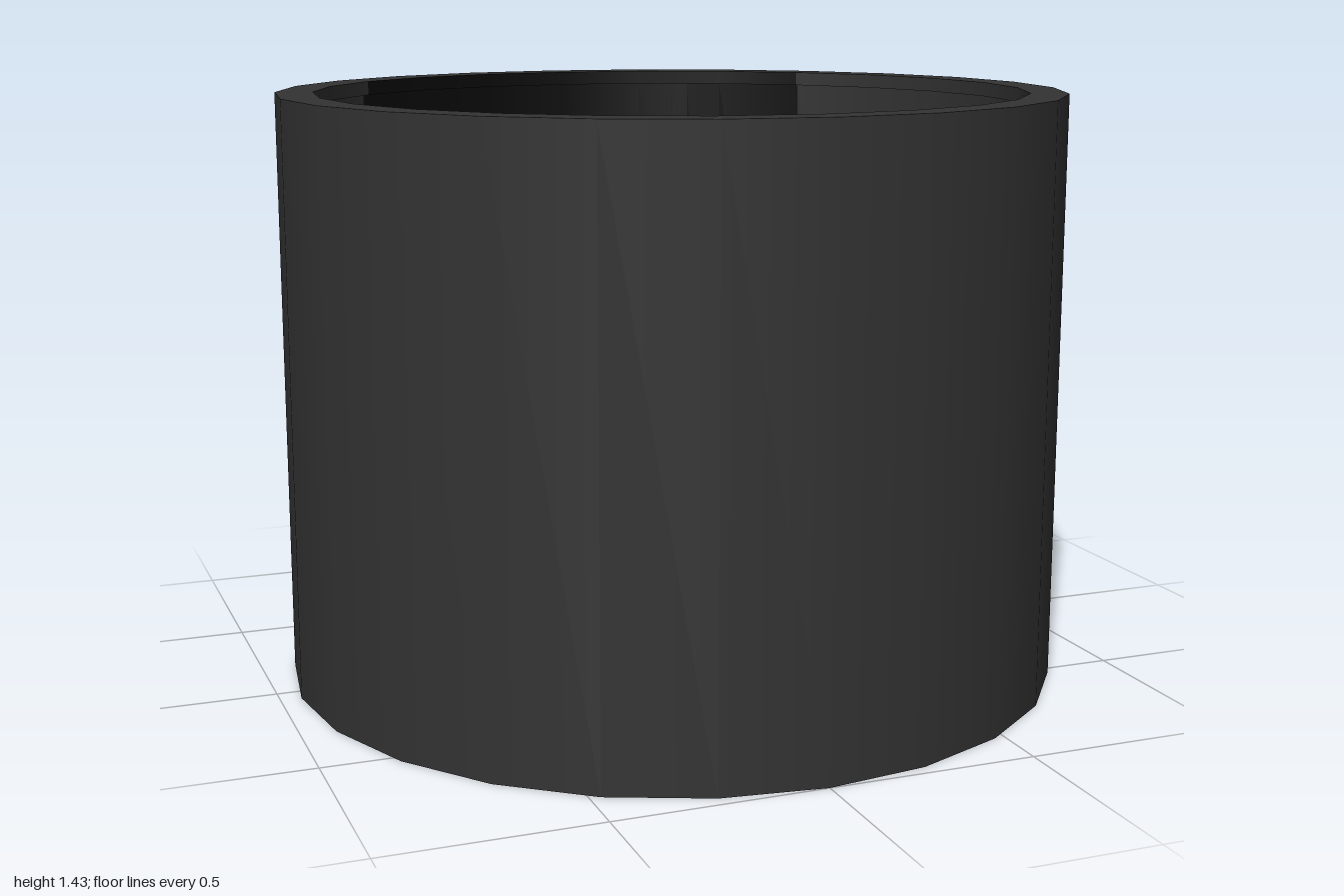
import * as THREE from 'three';

const R_OUT = 0.95, R_LIP = 0.86, R_WALL = 0.875;   // outer face, inner lips, inner wall
const H = 1.43, LIP = 0.035, CZ = 0.05, STEP = 15;  // height, lip height, ring centre, facet angle
const WIN = { a: 24, y0: 0.33, y1: 1.1, ca: 3.9, ry: 0.06 }; // window half angle, heights, corners
const rad = THREE.MathUtils.degToRad;

// Point on the 24-sided ring; the angle runs from the back (-z) towards +x
function ringPoint(a, R, y) {
  const m = ((a % STEP) + STEP) % STEP;
  const r = R * Math.cos(rad(STEP / 2)) / Math.cos(rad(m - STEP / 2));
  return new THREE.Vector3(r * Math.sin(rad(a)), y, CZ - r * Math.cos(rad(a)));
}

// Surface between two rows of points; side = 1 / -1 gives smooth radial normals, 0 flat ones
function ribbon(name, material, from, to, side = 0) {
  const pos = [];
  for (let i = 0; i < from.length - 1; i++) {
    for (const p of [from[i], to[i], to[i + 1], from[i], to[i + 1], from[i + 1]]) pos.push(p.x, p.y, p.z);
  }
  const geo = new THREE.BufferGeometry();
  geo.setAttribute('position', new THREE.Float32BufferAttribute(pos, 3));
  geo.computeVertexNormals();
  if (side) {
    const n = geo.attributes.normal, v = new THREE.Vector3();
    for (let i = 0; i < n.count; i++) {
      v.set(pos[i * 3], 0, pos[i * 3 + 2] - CZ).normalize().multiplyScalar(side);
      n.setXYZ(i, v.x, v.y, v.z);
    }
  }
  const mesh = new THREE.Mesh(geo, material);
  mesh.name = name;
  return mesh;
}

function range(a0, a1) {
  const out = [a0];
  for (let a = (Math.floor(a0 / STEP) + 1) * STEP; a < a1; a += STEP) out.push(a);
  return [...out, a1];
}

export function createModel() {
  const group = new THREE.Group();
  const grey = new THREE.MeshStandardMaterial({ color: 0x333333 });
  grey.name = 'dark grey';
  const black = new THREE.MeshStandardMaterial({ color: 0x0a0a0a });
  black.name = 'black';

  // Band over the given angles, from profile point (R0, y0) to (R1, y1); y may depend on the angle
  const val = (y, a) => (typeof y === 'function' ? y(a) : y);
  const band = (name, mat, angles, R0, y0, R1, y1, side) => group.add(ribbon(name, mat,
    angles.map(a => ringPoint(a, R0, val(y0, a))), angles.map(a => ringPoint(a, R1, val(y1, a))), side));

  // Rims
  const all = range(0, 360);
  band('topRim', grey, all, R_OUT, H, R_LIP, H);
  band('bottomRim', grey, all, R_LIP, 0, R_OUT, 0);

  // Grey shell
  band('outerShell', grey, range(60, 300), R_OUT, 0, R_OUT, H, 1);
  band('innerShell', grey, range(45, 315), R_WALL, H - LIP, R_WALL, LIP, -1);

  // Inner lips at both ends, black behind the panel
  for (const [mat, angles] of [[grey, range(45, 315)], [black, range(-45, 45)]]) {
    band('topLip', mat, angles, R_LIP, H, R_LIP, H - LIP, -1);
    band('topLipUnderside', mat, angles, R_LIP, H - LIP, R_WALL, H - LIP);
    band('bottomLipShelf', mat, angles, R_WALL, LIP, R_LIP, LIP);
    band('bottomLip', mat, angles, R_LIP, LIP, R_LIP, 0, -1);
  }

  // Window outline with rounded corners
  const corner = [];
  for (let i = 0; i <= 6; i++) corner.push(WIN.a - WIN.ca * (1 - Math.sin(i / 6 * Math.PI / 2)));
  const winAngles = [...corner.map(a => -a).reverse(), -15, 0, 15, ...corner];
  const inset = a => {
    const s = Math.max(0, (Math.abs(a) - WIN.a + WIN.ca) / WIN.ca);
    return WIN.ry * (1 - Math.sqrt(Math.max(0, 1 - s * s)));
  };
  const sill = a => WIN.y0 + inset(a);
  const head = a => WIN.y1 - inset(a);

  // Black back panel around the window
  for (const s of [-1, 1]) {
    const side = end => (s > 0 ? range(WIN.a, end) : range(-end, -WIN.a));
    band('panelSide', black, side(60), R_OUT, 0, R_OUT, H, 1);
    band('panelInnerSide', black, side(45), R_WALL, H - LIP, R_WALL, LIP, -1);
  }
  band('panelBelowWindow', black, winAngles, R_OUT, 0, R_OUT, sill, 1);
  band('panelAboveWindow', black, winAngles, R_OUT, head, R_OUT, H, 1);
  band('panelInnerAbove', black, winAngles, R_WALL, H - LIP, R_WALL, head, -1);
  band('panelInnerBelow', black, winAngles, R_WALL, sill, R_WALL, LIP, -1);
  band('windowSill', black, winAngles, R_OUT, sill, R_WALL, sill);
  band('windowHead', black, winAngles, R_WALL, head, R_OUT, head);
  for (const s of [-1, 1]) {
    const ys = [sill(WIN.a), head(WIN.a)];
    if (s < 0) ys.reverse();
    group.add(ribbon('windowJamb', grey,
      ys.map(y => ringPoint(s * WIN.a, R_OUT, y)), ys.map(y => ringPoint(s * WIN.a, R_WALL, y))));
  }

  // Wedge-shaped catch low on the back
  const wedge = new THREE.Shape([[0.87, 0], [1, 0], [1, 0.115], [0.9, 0.29], [0.87, 0.29]]
    .map(p => new THREE.Vector2(...p)));
  const catchGeo = new THREE.ExtrudeGeometry(wedge, { depth: 0.11, bevelEnabled: false });
  catchGeo.translate(0, 0, -0.055).rotateY(Math.PI / 2);
  const backCatch = new THREE.Mesh(catchGeo, black);
  backCatch.name = 'backCatch';
  group.add(backCatch);

  // Small paired tabs inside the window head
  for (const x of [-0.21, -0.17, 0.17, 0.21]) {
    const tab = new THREE.Mesh(new THREE.BoxGeometry(0.016, 0.04, 0.05), black);
    tab.name = 'windowTab';
    tab.position.set(x, 1.105, -0.8);
    group.add(tab);
  }
  return group;
}
